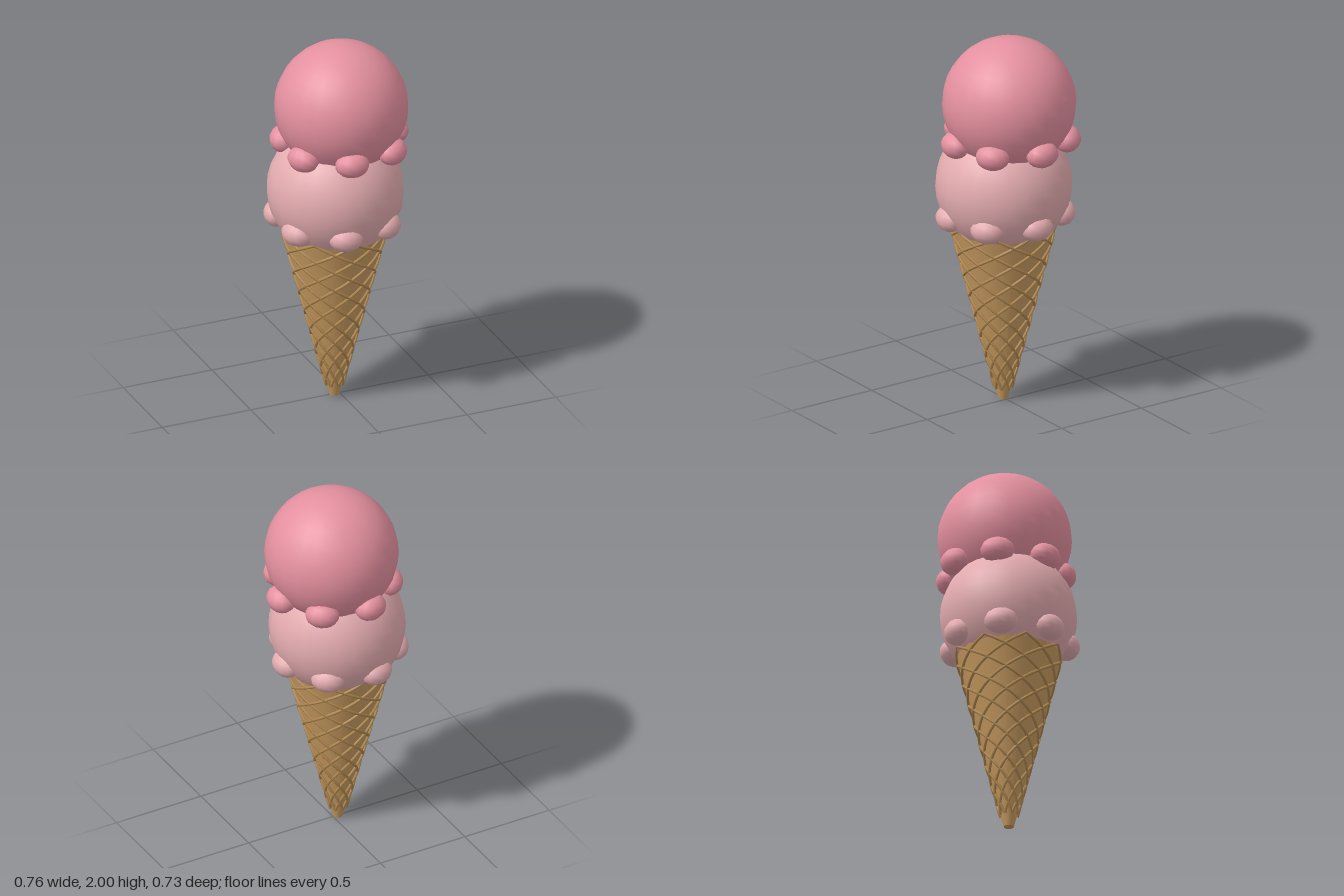
import * as THREE from 'three';

const AXIS_X = -0.03;          // cone axis
const CONE_TOP = 0.97;
const coneRadius = (y) => 0.026 + (y / CONE_TOP) * 0.246;

export function createModel() {
  const mat = (name, color) => {
    const m = new THREE.MeshStandardMaterial({ color });
    m.name = name;
    return m;
  };
  const waffle = mat('waffle', 0xc89b60);
  const ridge = mat('waffle ridge', 0xb08850);
  const lightPink = mat('light pink', 0xe4acb0);
  const deepPink = mat('deep pink', 0xe4909f);

  const model = new THREE.Group();
  model.name = 'iceCreamCone';
  const add = (parent, name, geometry, material) => {
    const mesh = new THREE.Mesh(geometry, material);
    mesh.name = name;
    parent.add(mesh);
    return mesh;
  };

  // Cone shell with a small closed tip
  const cone = new THREE.Group();
  cone.name = 'cone';
  cone.position.x = AXIS_X;
  model.add(cone);
  const shell = add(cone, 'coneShell',
    new THREE.CylinderGeometry(coneRadius(CONE_TOP), coneRadius(0), CONE_TOP, 32, 1), waffle);
  shell.position.y = CONE_TOP / 2;

  // Crossing spiral ridges: eight strands wound each way
  const strands = 8, y0 = 0.06, y1 = 0.985;
  for (const dir of [-1, 1]) {
    for (let i = 0; i < strands; i++) {
      const points = [];
      for (let k = 0; k <= 32; k++) {
        const t = k / 32;
        const y = y0 + (y1 - y0) * t;
        const a = (i / strands + dir * t) * Math.PI * 2;
        const r = coneRadius(y) + 0.004;
        points.push(new THREE.Vector3(Math.cos(a) * r, y, Math.sin(a) * r));
      }
      const path = new THREE.CatmullRomCurve3(points);
      add(cone, 'waffleRidge', new THREE.TubeGeometry(path, 64, 0.008, 6), ridge);
    }
  }

  // A scoop with seven drips around its lower edge
  const addScoop = (name, material, x, y, z, r, dripY) => {
    const group = new THREE.Group();
    group.name = name;
    group.position.set(x, 0, z);
    model.add(group);
    const ball = add(group, name + 'Ball', new THREE.SphereGeometry(r, 24, 18), material);
    ball.position.y = y;
    for (let i = 0; i < 7; i++) {
      const a = (i / 7) * Math.PI * 2;
      const drip = add(group, name + 'Drip', new THREE.SphereGeometry(1, 12, 9), material);
      drip.scale.set(0.072, 0.069, 0.09);
      drip.position.set(Math.cos(a) * 0.3, dripY, Math.sin(a) * 0.3);
      drip.rotation.y = -a;
    }
  };
  addScoop('lowerScoop', lightPink, -0.025, 1.19, 0, 0.355, 1.04);
  addScoop('upperScoop', deepPink, 0.013, 1.652, -0.008, 0.348, 1.457);

  return model;
}
